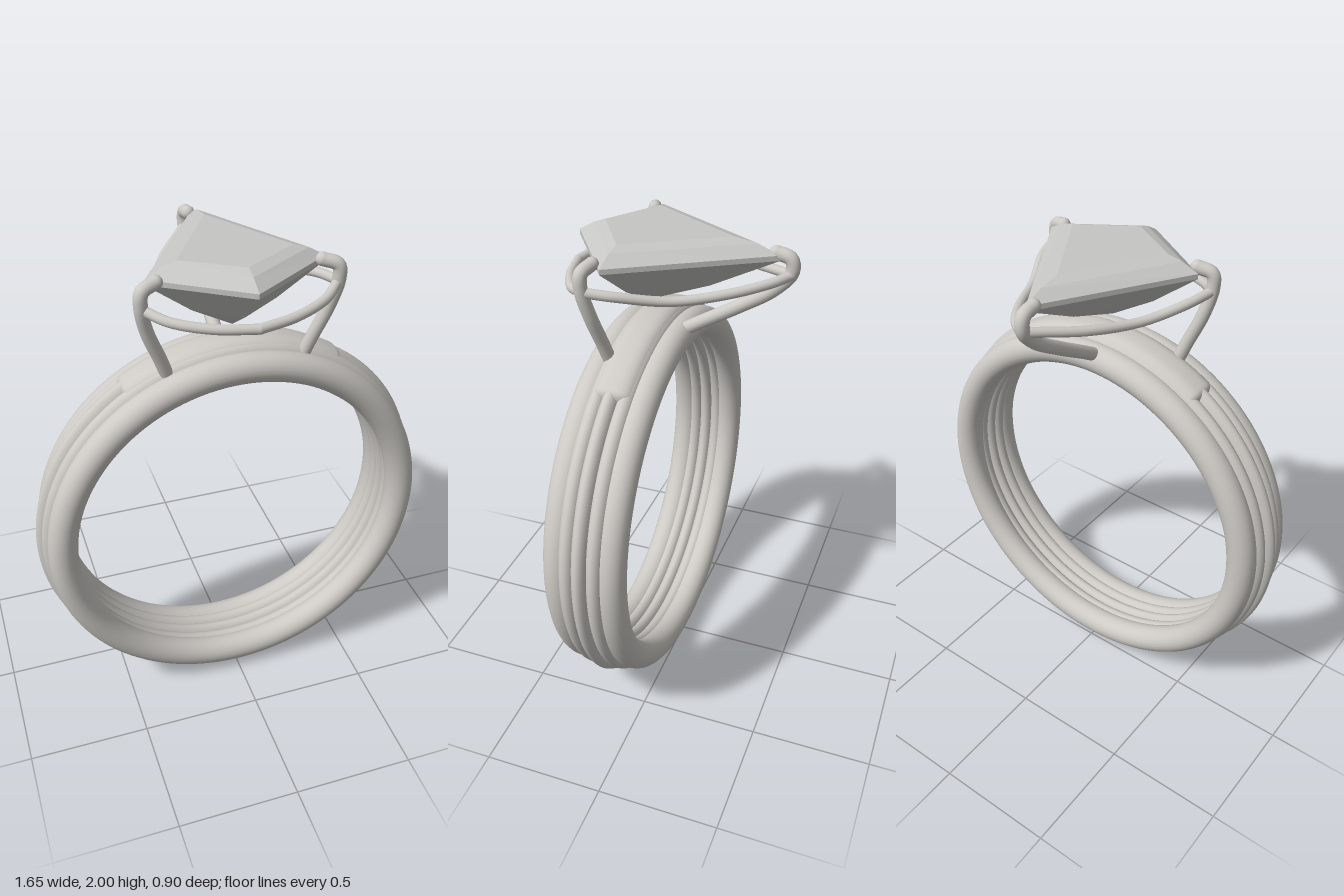
import * as THREE from 'three';

const metal = new THREE.MeshStandardMaterial({ color: 0xcdcac5 });
metal.name = 'polished metal';
const stone = new THREE.MeshStandardMaterial({ color: 0xc6c6c4 });
stone.name = 'gem stone';

const CY = 0.825; // centre height of the hoop

function add(parent, name, geometry, material = metal) {
  const mesh = new THREE.Mesh(geometry, material);
  mesh.name = name;
  parent.add(mesh);
  return mesh;
}

// Round wire through a few points, with ball ends
function wire(parent, name, points, radius) {
  const group = new THREE.Group();
  group.name = name;
  parent.add(group);
  const pts = points.map((p) => new THREE.Vector3(...p));
  const curve = new THREE.CatmullRomCurve3(pts);
  add(group, name + 'Rod', new THREE.TubeGeometry(curve, 48, radius, 16));
  for (const p of [pts[0], pts[pts.length - 1]]) {
    add(group, name + 'End', new THREE.SphereGeometry(radius, 16, 12)).position.copy(p);
  }
}

// Smooth arc that fills the grooves at the top of the hoop
function bandGeometry() {
  const a0 = 0.6, mid = 0.742, round = 0.05;
  const profile = [];
  const n = 40;
  for (let i = 0; i <= n; i++) {
    const t = Math.PI / 2 + (i / n) * Math.PI * 2;
    const c = Math.cos(t), s = Math.sin(t);
    profile.push(new THREE.Vector2(
      mid + 0.082 * Math.sign(c) * Math.pow(Math.abs(c), 0.7),
      0.085 * Math.sign(s) * Math.pow(Math.abs(s), 0.7)));
  }
  const geo = new THREE.LatheGeometry(profile, 96, -a0, a0 * 2);
  // Close both ends by rounding the section down to its middle
  const pos = geo.attributes.position;
  for (let i = 0; i < pos.count; i++) {
    const x = pos.getX(i), z = pos.getZ(i);
    const phi = Math.atan2(x, z);
    const e = Math.max(0, (Math.abs(phi) - (a0 - round)) / round);
    const k = Math.sqrt(Math.max(0, 1 - e * e));
    const r = mid + (Math.hypot(x, z) - mid) * k;
    pos.setXYZ(i, r * Math.sin(phi), pos.getY(i) * k, r * Math.cos(phi));
  }
  geo.computeVertexNormals();
  geo.rotateX(-Math.PI / 2);
  return geo;
}

// Faceted kite: rings of four corners, then a table and a point
function gemGeometry() {
  // y, front z, side x, side z, back z
  const rings = [
    [2.0, 0.31, 0.22, 0.172, -0.2],
    [1.985, 0.36, 0.275, 0.18, -0.29],
    [1.95, 0.42, 0.34, 0.19, -0.375],
    [1.93, 0.42, 0.34, 0.19, -0.375],
    [1.795, 0.28, 0.165, 0.165, -0.11],
  ].map(([y, f, sx, sz, b]) => [[0, y, f], [sx, y, sz], [0, y, b], [-sx, y, sz]]);
  const tip = [0, 1.7, 0.14];
  const v = [];
  const tri = (a, b, c) => v.push(...a, ...b, ...c);
  const top = rings[0], low = rings[rings.length - 1];
  tri(top[0], top[1], top[3]);
  tri(top[1], top[2], top[3]);
  for (let i = 0; i < 4; i++) {
    const j = (i + 1) % 4;
    for (let k = 0; k < rings.length - 1; k++) {
      const up = rings[k], dn = rings[k + 1];
      tri(up[i], dn[i], dn[j]);
      tri(up[i], dn[j], up[j]);
    }
    tri(low[i], tip, low[j]);
  }
  const geo = new THREE.BufferGeometry();
  geo.setAttribute('position', new THREE.Float32BufferAttribute(v, 3));
  geo.computeVertexNormals();
  return geo;
}

export function createModel() {
  const model = new THREE.Group();
  model.name = 'ring';

  // Hoop of five joined strands: z, centre radius, radial and sideways thickness
  const hoop = new THREE.Group();
  hoop.name = 'hoop';
  hoop.position.y = CY;
  model.add(hoop);
  const strands = [
    [0.235, 0.735, 0.06, 0.06],
    [0.183, 0.745, 0.064, 0.04],
    [0.128, 0.752, 0.072, 0.038],
    [0.073, 0.745, 0.064, 0.04],
    [0.022, 0.735, 0.06, 0.06],
  ];
  for (const [z, r, a, b] of strands) {
    const strand = add(hoop, 'strand', new THREE.TorusGeometry(r, a, 24, 128));
    strand.position.z = z;
    strand.scale.z = b / a;
  }
  add(hoop, 'smoothTop', bandGeometry()).position.z = 0.126;

  // Prongs that grip the stone
  for (const s of [1, -1]) {
    const side = s > 0 ? 'left' : 'right';
    wire(model, side + 'Prong', [
      [s * 0.265, 1.54, 0.19], [s * 0.3, 1.64, 0.208], [s * 0.35, 1.77, 0.23],
      [s * 0.372, 1.88, 0.25], [s * 0.365, 1.935, 0.25], [s * 0.31, 1.955, 0.23],
    ], 0.026);
    // Side rail from a front prong to the back prong
    wire(model, side + 'Rail', [
      [s * 0.37, 1.868, 0.235], [s * 0.34, 1.855, 0.13], [s * 0.25, 1.826, -0.04],
      [s * 0.16, 1.842, -0.22], [s * 0.06, 1.865, -0.36], [-0.015, 1.875, -0.42],
    ], 0.019);
    // Front rail, meeting its mirror image below the front corner
    wire(model, side + 'FrontRail', [
      [s * 0.37, 1.868, 0.245], [s * 0.29, 1.845, 0.325], [s * 0.15, 1.83, 0.395],
      [0, 1.825, 0.432],
    ], 0.019);
  }
  wire(model, 'backProng', [
    [-0.015, 1.575, 0.02], [-0.015, 1.625, -0.06], [-0.015, 1.72, -0.22], [-0.015, 1.81, -0.355],
    [-0.02, 1.885, -0.418], [-0.02, 1.935, -0.41], [-0.02, 1.952, -0.355],
  ], 0.027);

  add(model, 'gem', gemGeometry(), stone);
  return model;
}
